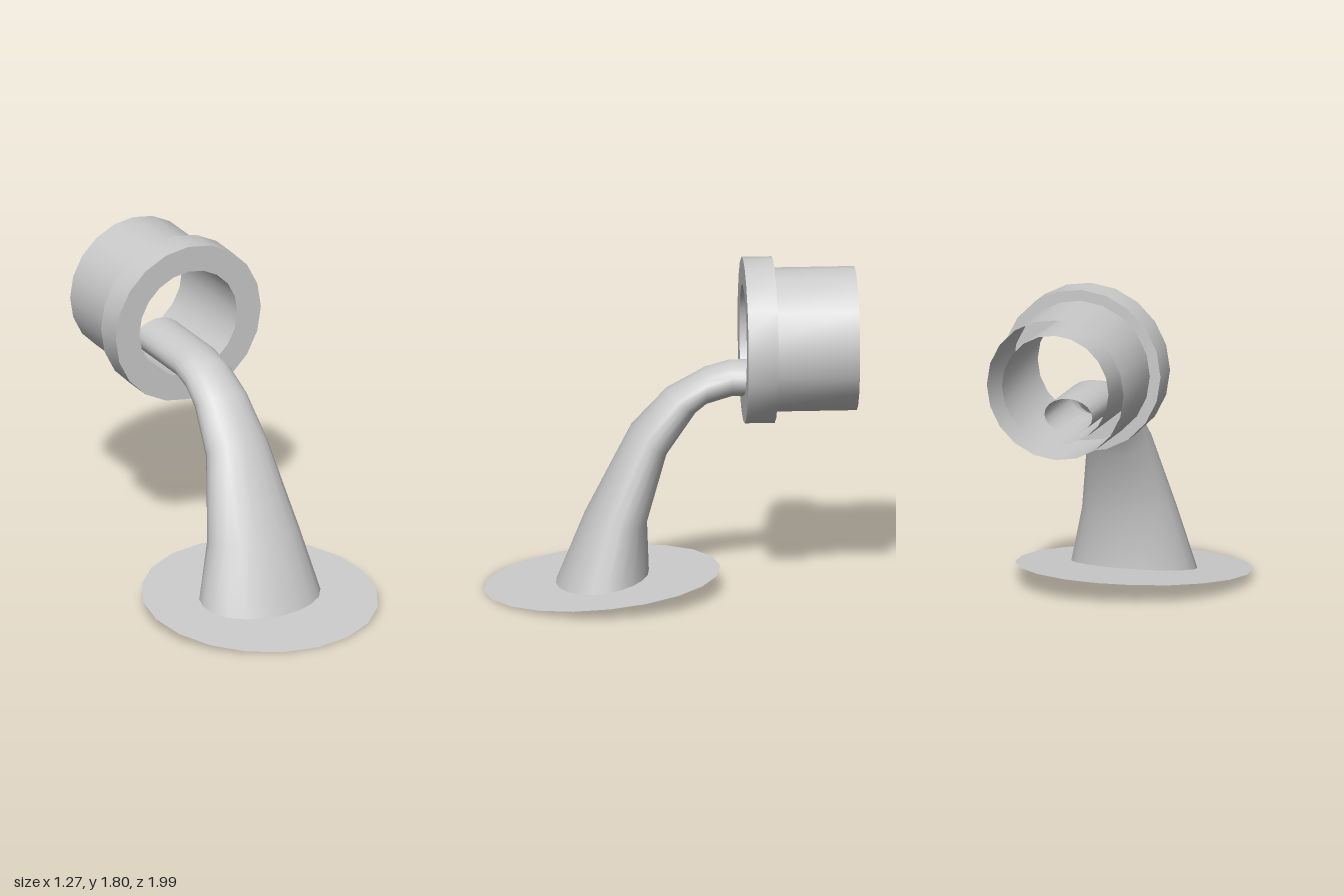
import * as THREE from 'three';
import { toCreasedNormals, mergeVertices } from 'three/addons/utils/BufferGeometryUtils.js';

const SIDES = 20;

// Tube skinned over oval sections: [front z, front y, back z, back y, half width]
function loftSections(sections) {
  const pos = [], index = [];
  for (const [fz, fy, bz, by, w] of sections) {
    for (let i = 0; i < SIDES; i++) {
      const a = (i / SIDES) * Math.PI * 2;
      const t = (1 + Math.cos(a)) / 2; // 1 at the front/top, 0 at the back/underside
      pos.push(w * Math.sin(a), by + (fy - by) * t, bz + (fz - bz) * t);
    }
  }
  for (let s = 0; s < sections.length - 1; s++) {
    for (let i = 0; i < SIDES; i++) {
      const j = (i + 1) % SIDES;
      const a = s * SIDES + i, b = s * SIDES + j;
      index.push(a, b, b + SIDES, a, b + SIDES, a + SIDES);
    }
  }
  const g = new THREE.BufferGeometry();
  g.setAttribute('position', new THREE.Float32BufferAttribute(pos, 3));
  g.setIndex(index);
  g.computeVertexNormals();
  return g;
}

export function createModel() {
  const group = new THREE.Group();
  group.name = 'pipeWithSpout';
  const material = new THREE.MeshStandardMaterial({ color: 0xcccccc, side: THREE.DoubleSide });
  const add = (name, geometry) => {
    const mesh = new THREE.Mesh(geometry, material);
    mesh.name = name;
    group.add(mesh);
    return mesh;
  };

  // Double-walled pipe with a front collar; the gap between the walls is open at the back
  const profile = [
    [0.3, 1], [0.3, 0.4], [0.445, 0.4], [0.445, 0.56], [0.385, 0.56], [0.385, 1],
  ].map(([r, h]) => new THREE.Vector2(r, h));
  const pipe = add('collaredPipe', toCreasedNormals(new THREE.LatheGeometry(profile, SIDES), Math.PI / 6));
  pipe.rotation.x = -Math.PI / 2;
  pipe.position.set(-0.01, 1.36, 0);

  // Stream that leaves the pipe, bends down and widens; open at both ends
  add('stream', loftSections([
    [0.605, 0.03, 0.105, 0.105, 0.345],
    [0.45, 0.41, 0.115, 0.38, 0.265],
    [0.2, 0.9, 0.01, 0.75, 0.18],
    [0.01, 1.1, -0.145, 0.975, 0.152],
    [-0.2, 1.215, -0.2, 1.02, 0.14],
    [-0.33, 1.25, -0.335, 1.06, 0.135],
    [-0.75, 1.25, -0.75, 1.06, 0.135],
  ]));

  // Thin, slightly tilted disc under the stream
  const disc = add('puddle', new THREE.CircleGeometry(0.635, SIDES));
  disc.rotation.x = -Math.PI / 2 + Math.atan2(0.115, 1.27);
  disc.position.set(0, 0.06, 0.355);

  return group;
}
